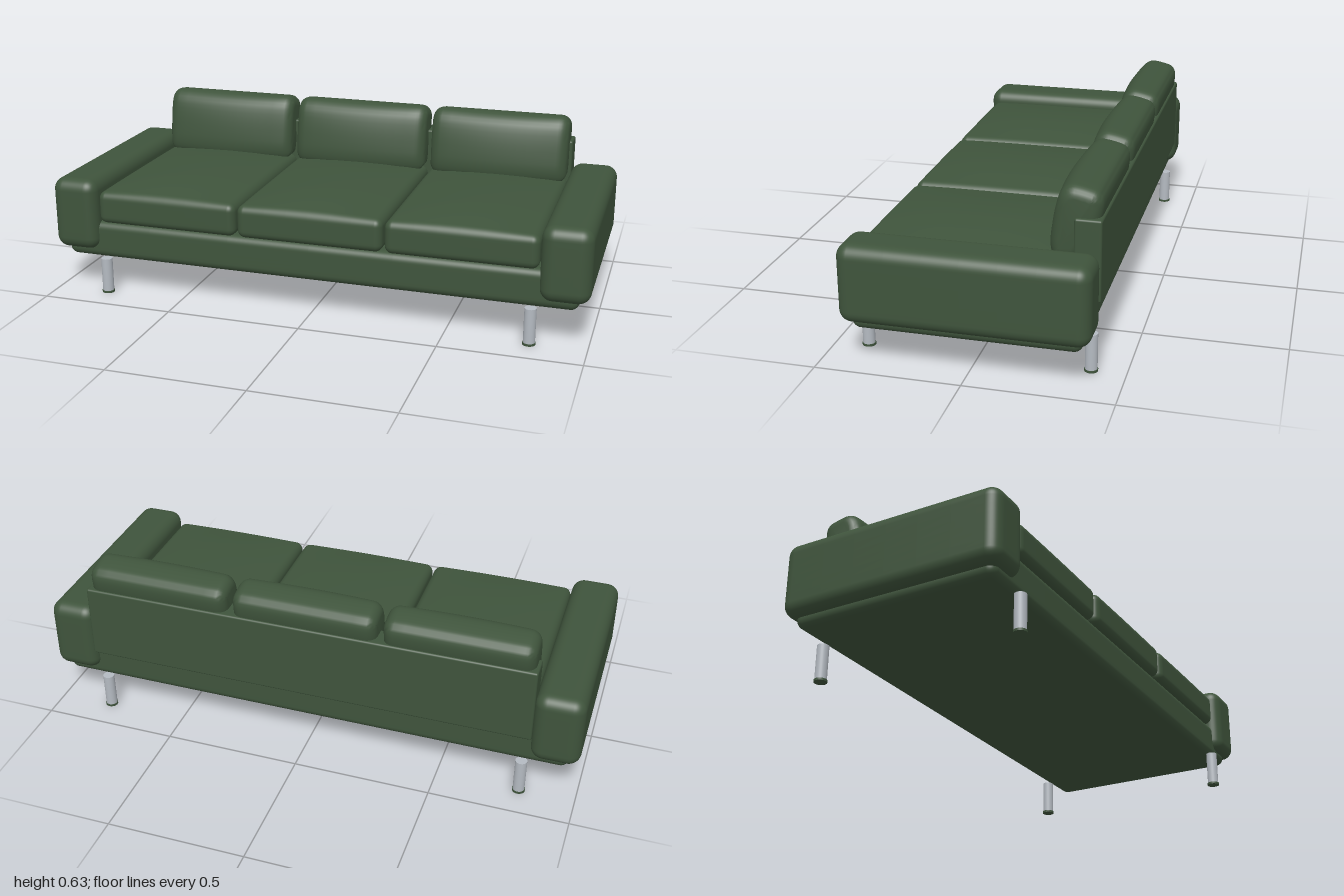
import * as THREE from 'three';
import { mergeVertices, toCreasedNormals } from 'three/addons/utils/BufferGeometryUtils.js';

const fabric = new THREE.MeshStandardMaterial({ color: 0x3f543c });
fabric.name = 'green fabric';
const metal = new THREE.MeshStandardMaterial({ color: 0xb4bac1 });
metal.name = 'brushed metal';

// Box with round edges and a finely divided surface; crown swells the top.
function padGeometry(w, h, d, r, crown = 0) {
  const half = [w / 2, h / 2, d / 2];
  const geo = new THREE.BoxGeometry(2, 2, 2, 18, 18, 18);
  geo.deleteAttribute('uv');
  geo.deleteAttribute('normal');
  const pos = geo.attributes.position;
  const core = new THREE.Vector3();
  const p = new THREE.Vector3();
  // a third of the divisions go to each rounded edge
  const remap = (t, s) => {
    const a = Math.abs(t) * 3;
    return Math.sign(t) * (a < 1 ? a * (s - r) : s - r + (a - 1) / 2 * r);
  };
  for (let i = 0; i < pos.count; i++) {
    p.fromBufferAttribute(pos, i);
    p.set(remap(p.x, half[0]), remap(p.y, half[1]), remap(p.z, half[2]));
    core.set(...[p.x, p.y, p.z].map((v, k) => THREE.MathUtils.clamp(v, r - half[k], half[k] - r)));
    p.sub(core).setLength(r).add(core);
    if (crown && p.y > 0) {
      const u = p.x / half[0], v = p.z / half[2];
      p.y += crown * (1 - u * u) * (1 - v ** 4) * (p.y / half[1]);
    }
    pos.setXYZ(i, p.x, p.y, p.z);
  }
  const merged = mergeVertices(geo, 1e-5);
  merged.computeVertexNormals();
  return merged;
}

// Back cushion: side profile (z, y) swept across the width with rounded ends.
function backCushionGeometry(width) {
  const bevel = 0.04;
  const shape = new THREE.Shape();
  shape.moveTo(-0.33, 0.385);
  shape.lineTo(-0.245, 0.385);
  shape.bezierCurveTo(-0.225, 0.39, -0.222, 0.425, -0.226, 0.46);
  shape.bezierCurveTo(-0.232, 0.51, -0.24, 0.55, -0.252, 0.585);
  shape.bezierCurveTo(-0.262, 0.615, -0.29, 0.637, -0.32, 0.635);
  shape.bezierCurveTo(-0.345, 0.633, -0.37, 0.626, -0.386, 0.621);
  shape.bezierCurveTo(-0.405, 0.613, -0.413, 0.595, -0.412, 0.57);
  shape.lineTo(-0.405, 0.51);
  shape.lineTo(-0.33, 0.385);
  const depth = width - 2 * bevel;
  const geo = new THREE.ExtrudeGeometry(shape, {
    depth, steps: 12, curveSegments: 6,
    bevelEnabled: true, bevelThickness: bevel, bevelSize: bevel, bevelOffset: -bevel, bevelSegments: 6,
  });
  geo.translate(0, 0, -depth / 2);
  geo.rotateY(-Math.PI / 2);
  // turn the profile so that its first axis lies along z
  const pos = geo.attributes.position;
  for (let i = 0; i < pos.count; i++) {
    const z = pos.getZ(i);
    const u = pos.getX(i) / (width / 2);
    // the front swells slightly at mid width
    const front = THREE.MathUtils.clamp((z + 0.33) / 0.1, 0, 1);
    pos.setZ(i, z - 0.02 * u * u * front);
  }
  geo.deleteAttribute('uv');
  return toCreasedNormals(geo, 0.8);
}

function add(parent, name, geo, mat, x, y, z) {
  const mesh = new THREE.Mesh(geo, mat);
  mesh.name = name;
  mesh.position.set(x, y, z);
  parent.add(mesh);
  return mesh;
}

export function createModel() {
  const sofa = new THREE.Group();
  sofa.name = 'sofa';

  // Frame
  add(sofa, 'base', padGeometry(1.92, 0.14, 0.765, 0.03), fabric, 0, 0.203, 0);
  add(sofa, 'backPanel', padGeometry(1.66, 0.28, 0.09, 0.008), fabric, 0, 0.395, -0.37);

  // Arms
  const armGeo = padGeometry(0.175, 0.272, 0.83, 0.045);
  for (const s of [-1, 1]) {
    add(sofa, s > 0 ? 'leftArm' : 'rightArm', armGeo, fabric, s * 0.9125, 0.301, 0);
  }

  // Three seat and back cushions
  const seatGeo = padGeometry(0.542, 0.122, 0.72, 0.028, 0.024);
  const backGeo = backCushionGeometry(0.53);
  for (const i of [-1, 0, 1]) {
    add(sofa, 'seatCushion', seatGeo, fabric, i * 0.55, 0.333, 0.033);
    add(sofa, 'backCushion', backGeo, fabric, i * 0.553, 0, 0);
  }

  // Legs with foot pads
  const legGeo = new THREE.CylinderGeometry(0.021, 0.021, 0.142, 28);
  const padGeo = new THREE.CylinderGeometry(0.023, 0.023, 0.008, 28);
  for (const x of [-0.8, 0.8]) {
    for (const z of [-0.382, 0.385]) {
      const leg = new THREE.Group();
      leg.name = 'leg';
      add(leg, 'legTube', legGeo, metal, 0, 0.079, 0);
      add(leg, 'footPad', padGeo, fabric, 0, 0.004, 0);
      leg.position.set(x, 0, z);
      // keep the tube top just under the base
      leg.children[0].scale.y = 0.9;
      leg.children[0].position.y = 0.071;
      sofa.add(leg);
    }
  }
  return sofa;
}
